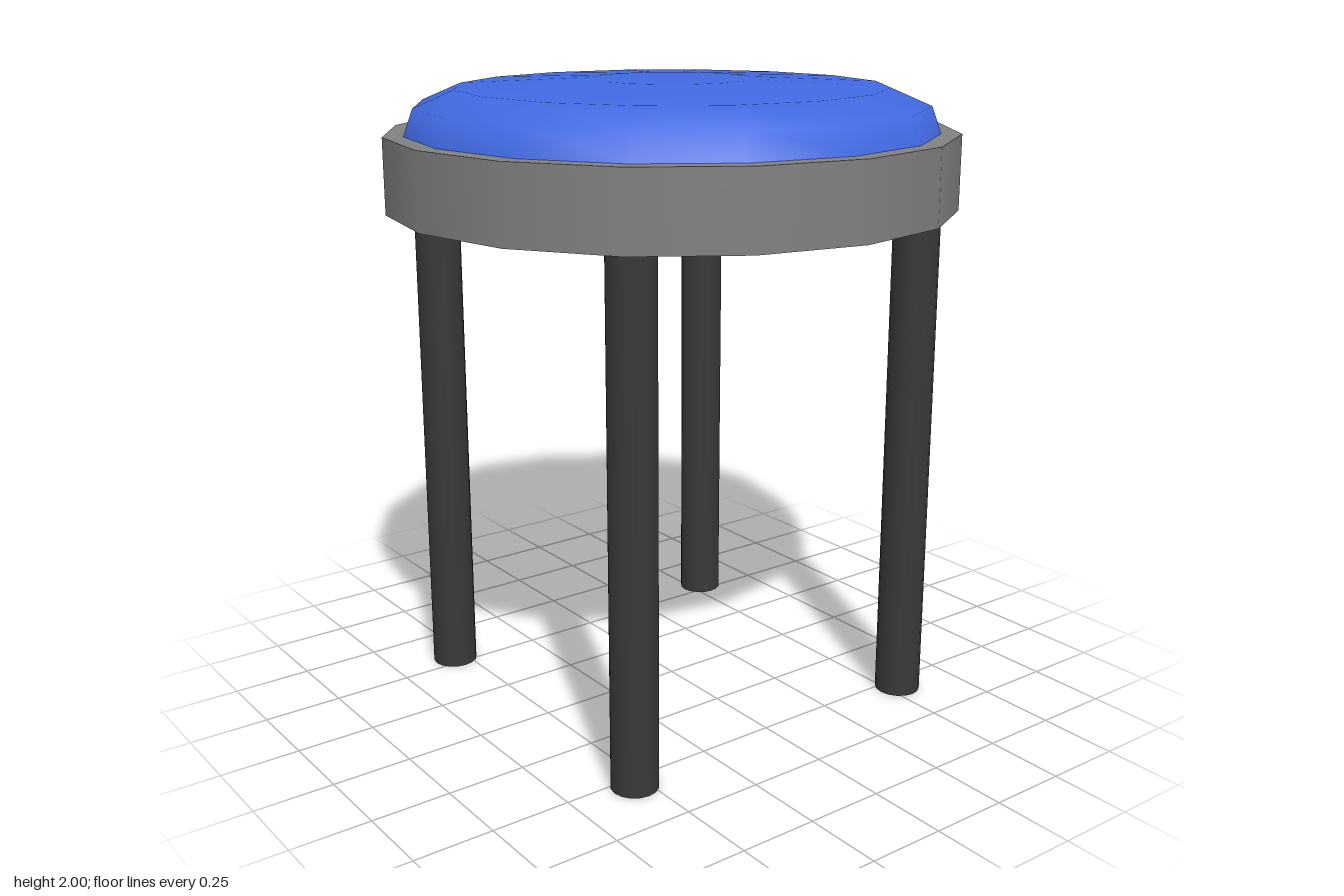
import * as THREE from 'three';

const SIDES = 16;

function part(name, geometry, color, x = 0, y = 0, z = 0) {
  const mesh = new THREE.Mesh(geometry, new THREE.MeshStandardMaterial({ color }));
  mesh.name = name;
  mesh.position.set(x, y, z);
  return mesh;
}

export function createModel() {
  const stool = new THREE.Group();
  stool.name = 'stool';

  // Seat base: a thick sixteen-sided disc
  const seatBottom = 1.61, seatTop = 1.843;
  const seatHeight = seatTop - seatBottom;
  stool.add(part('seatBase', new THREE.CylinderGeometry(0.888, 0.888, seatHeight, SIDES),
    0x808080, 0, seatBottom + seatHeight / 2, 0));

  // Cushion: a softly domed pad set in from the rim
  const profile = [[0.825, seatTop], [0.795, 1.925], [0.67, 1.978], [0.25, 2], [0, 2]]
    .map(([r, y]) => new THREE.Vector2(r, y));
  stool.add(part('cushion', new THREE.LatheGeometry(profile, SIDES), 0x4169e1));

  // Four straight round legs
  const legGeometry = new THREE.CylinderGeometry(0.073, 0.073, seatBottom, SIDES);
  for (const z of [1, -1]) {
    for (const x of [1, -1]) {
      const name = (z > 0 ? 'front' : 'back') + (x > 0 ? 'Left' : 'Right') + 'Leg';
      stool.add(part(name, legGeometry, 0x383838, x * 0.54, seatBottom / 2, z * 0.54));
    }
  }
  return stool;
}
